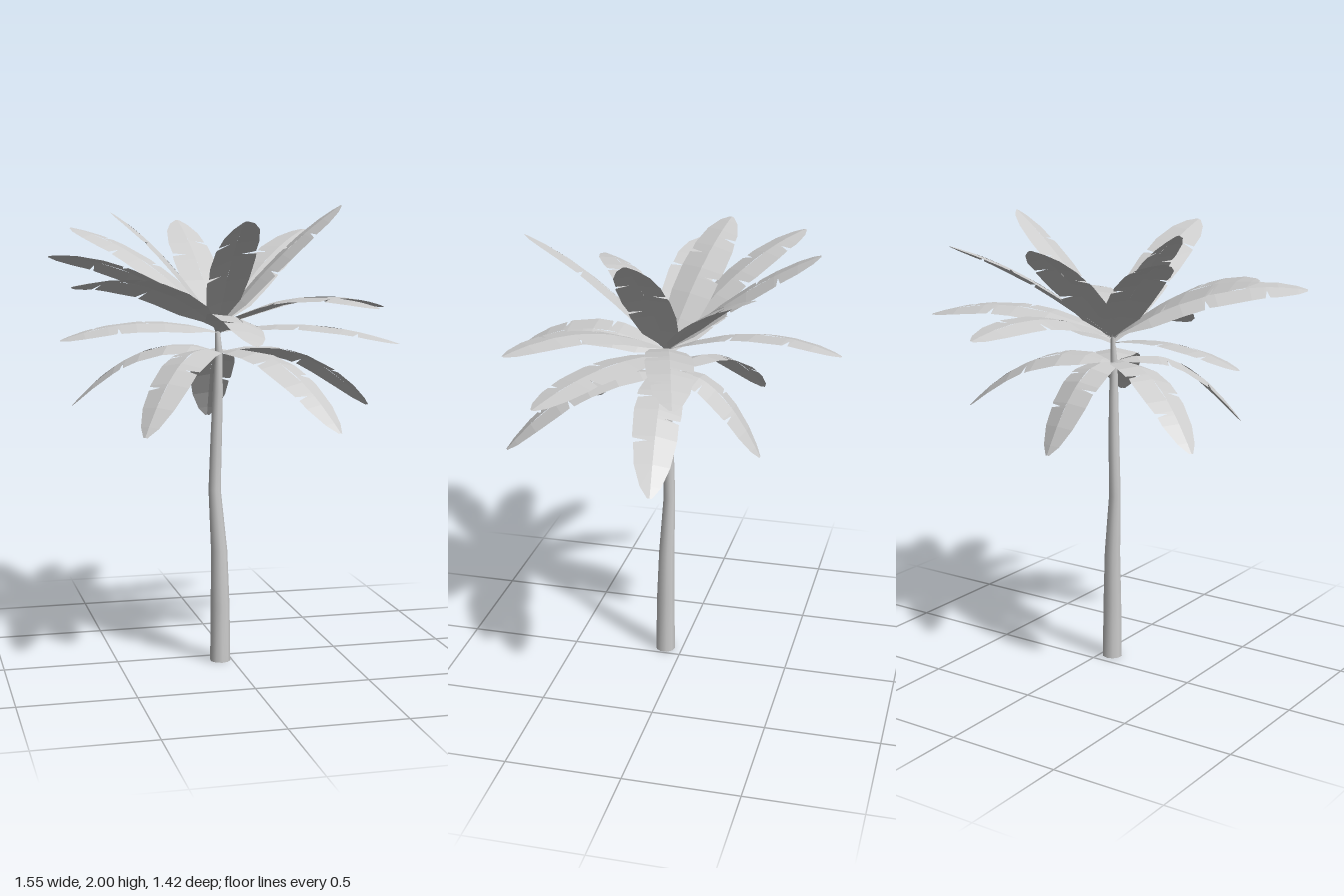
import * as THREE from 'three';
import { mergeVertices } from 'three/addons/utils/BufferGeometryUtils.js';

const GREY = 0xcccccc;

// Half-width of a leaf along its length, as [u, half-width]
const PROFILE = [[0, 0.01], [0.07, 0.03], [0.18, 0.08], [0.34, 0.098], [0.52, 0.102],
  [0.7, 0.095], [0.85, 0.076], [0.95, 0.044], [1, 0.01]];

function halfWidth(u) {
  for (let i = 1; i < PROFILE.length; i++) {
    const [u0, w0] = PROFILE[i - 1], [u1, w1] = PROFILE[i];
    if (u <= u1) return w0 + (w1 - w0) * (u - u0) / (u1 - u0);
  }
  return 0;
}

// Edge points of one leaf half; each tear adds a narrow wedge cut
function edgePoints(tears) {
  const pts = PROFILE.filter(([u]) => tears.every((t) => Math.abs(u - t) > 0.02)).map(([u, w]) => [u, w]);
  for (const t of tears) {
    pts.push([t - 0.013, halfWidth(t)], [t, halfWidth(t) * 0.35], [t + 0.013, halfWidth(t) * 0.95]);
  }
  return pts.sort((a, b) => a[0] - b[0]);
}

// Arched leaf, folded along its midrib
function leafGeometry(base, tip, midY, fold, roll, index) {
  const mid = base.clone().lerp(tip, 0.5).setY(midY);
  const control = mid.multiplyScalar(2).sub(base.clone().add(tip).multiplyScalar(0.5));
  const curve = new THREE.QuadraticBezierCurve3(base, control, tip);
  const positions = [];
  for (const s of [1, -1]) {
    const shift = 0.03 * ((index * 2 + (s > 0 ? 1 : 0)) % 4) - 0.045;
    const tears = s > 0 ? [0.42 + shift, 0.74 + shift] : [0.62 + shift];
    const angle = fold + s * roll;
    const rows = edgePoints(tears).map(([u, w]) => {
      const rib = curve.getPoint(u);
      const tangent = curve.getTangent(u);
      const side = new THREE.Vector3().crossVectors(tangent, new THREE.Vector3(0, 1, 0)).normalize();
      const normal = new THREE.Vector3().crossVectors(side, tangent);
      const edge = rib.clone()
        .addScaledVector(side, s * w * Math.cos(angle))
        .addScaledVector(normal, w * Math.sin(angle));
      return { rib, edge };
    });
    for (let i = 0; i + 1 < rows.length; i++) {
      const a = rows[i], b = rows[i + 1];
      const quad = [a.rib, a.edge, b.edge, a.rib, b.edge, b.rib];
      if (s < 0) quad.reverse();
      for (const p of quad) positions.push(p.x, p.y, p.z);
    }
  }
  const g = new THREE.BufferGeometry();
  g.setAttribute('position', new THREE.Float32BufferAttribute(positions, 3));
  g.computeVertexNormals();
  return g;
}

// Tapered, slightly bent trunk: rings given as [x, y, z, radius]
function trunkGeometry() {
  const rings = [[-0.052, 0, 0.078, 0.045], [-0.052, 0.25, 0.077, 0.042], [-0.055, 0.5, 0.072, 0.036],
    [-0.073, 0.77, 0.063, 0.027], [-0.066, 1.0, 0.065, 0.025], [-0.06, 1.2, 0.07, 0.022],
    [-0.057, 1.38, 0.075, 0.016], [-0.06, 1.5, 0.06, 0.008]];
  const g = new THREE.CylinderGeometry(1, 1, 1, 10, rings.length - 1, true);
  const p = g.attributes.position;
  for (let i = 0; i < p.count; i++) {
    const k = Math.round((p.getY(i) + 0.5) * (rings.length - 1));
    const [x, y, z, r] = rings[k];
    p.setXYZ(i, x + p.getX(i) * r, y, z + p.getZ(i) * r);
  }
  // Weld the seam so the bark shades smoothly all round
  g.deleteAttribute('uv');
  g.deleteAttribute('normal');
  const welded = mergeVertices(g);
  welded.computeVertexNormals();
  return welded;
}

// Leaf tiers: [tip x, tip y, tip z, height at mid-length, roll]
const TIERS = [
  { name: 'upperLeaf', baseY: 1.48, fold: -0.15, leaves: [
    [-0.1, 1.93, -0.58, 1.75, -0.1],
    [0.46, 1.89, -0.4, 1.74, -0.15],
    [0.48, 2.0, 0.1, 1.78, -0.12],
    [-0.49, 1.97, -0.12, 1.78, -0.15],
    [-0.1, 1.94, 0.71, 1.77, -0.28],
    [-0.62, 1.9, -0.43, 1.76, 0.05],
  ] },
  { name: 'middleLeaf', baseY: 1.48, fold: -0.15, leaves: [
    [0.1, 1.57, -0.71, 1.61, 0.15],
    [0.77, 1.54, -0.16, 1.595, 0.12],
    [0.48, 1.59, 0.62, 1.62, 0],
    [-0.75, 1.69, 0.54, 1.67, -0.28],
    [-0.78, 1.79, 0.04, 1.71, -0.3],
  ] },
  { name: 'lowerLeaf', baseY: 1.46, fold: -0.15, leaves: [
    [0.63, 1.43, 0.45, 1.5, 0],
    [-0.06, 1.46, 0.71, 1.55, 0.28],
    [-0.73, 1.43, -0.02, 1.5, 0.15],
  ] },
  { name: 'droopingLeaf', baseY: 1.37, fold: -0.2, leaves: [
    [0.66, 1.11, -0.04, 1.36, 0.2],
    [0.3, 1.1, 0.69, 1.36, 0],
    [-0.46, 1.08, 0.5, 1.36, 0],
    [-0.65, 1.12, -0.25, 1.37, 0.15],
    [-0.01, 1.04, -0.36, 1.33, 0],
  ] },
];

export function createModel() {
  const palm = new THREE.Group();
  palm.name = 'palmTree';

  const bark = new THREE.MeshStandardMaterial({ color: GREY });
  const trunk = new THREE.Mesh(trunkGeometry(), bark);
  trunk.name = 'trunk';
  palm.add(trunk);

  const trunkBase = new THREE.Mesh(new THREE.CircleGeometry(0.045, 10, Math.PI / 2).rotateX(Math.PI / 2), bark);
  trunkBase.name = 'trunkBase';
  trunkBase.position.set(-0.052, 0, 0.078);
  palm.add(trunkBase);

  // Crown of leaves, tier by tier
  const crown = new THREE.Group();
  crown.name = 'crown';
  const leafMaterial = new THREE.MeshStandardMaterial({ color: GREY, flatShading: true, side: THREE.DoubleSide });
  let index = 0;
  for (const { name, baseY, fold, leaves } of TIERS) {
    for (const [x, y, z, midY, roll] of leaves) {
      const base = new THREE.Vector3(-0.058, baseY, 0.065);
      const leaf = new THREE.Mesh(
        leafGeometry(base, new THREE.Vector3(x, y, z), midY, fold, roll, index++), leafMaterial);
      leaf.name = name;
      crown.add(leaf);
    }
  }
  palm.add(crown);
  return palm;
}
